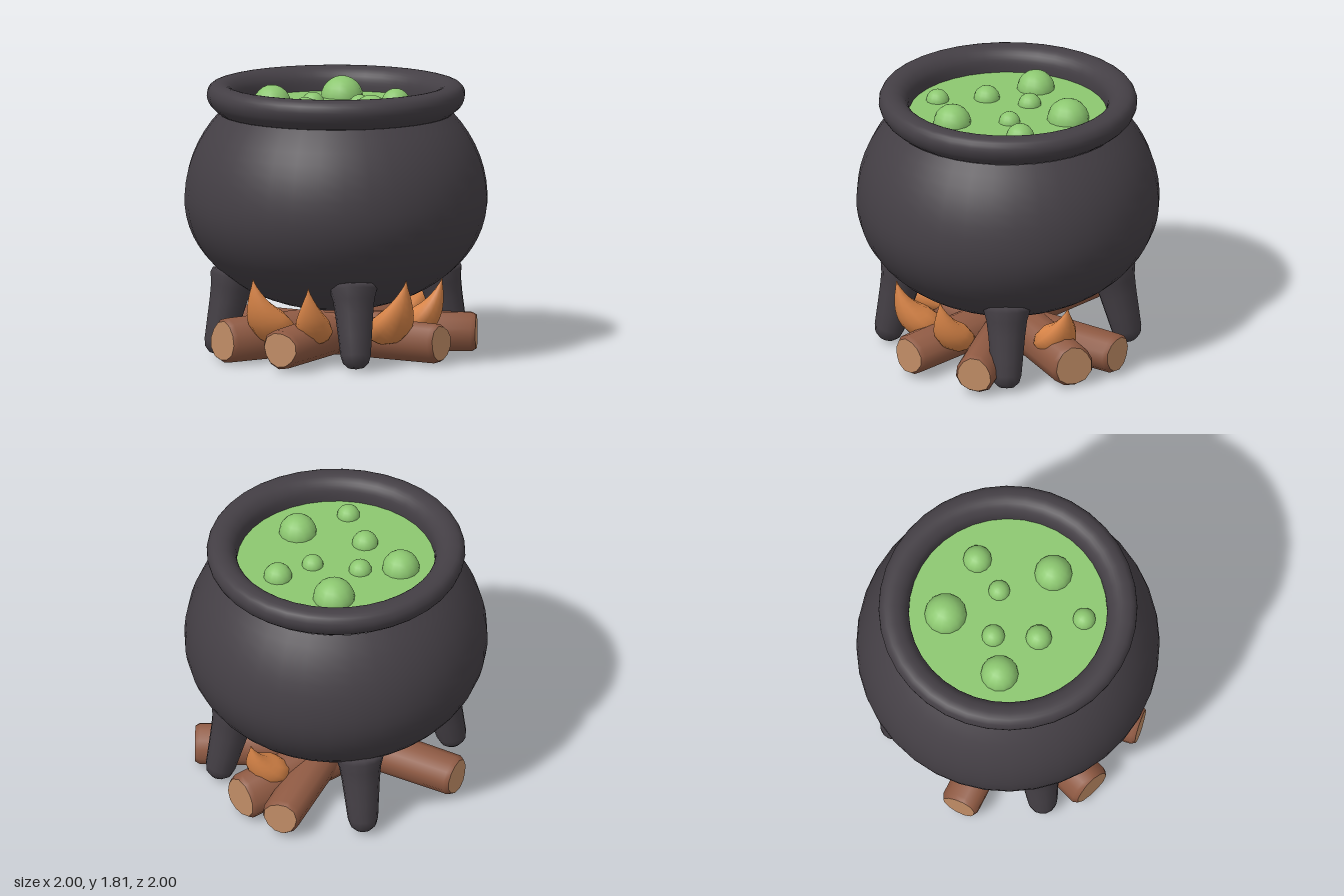
import * as THREE from 'three';
import { toCreasedNormals } from 'three/addons/utils/BufferGeometryUtils.js';

const paint = (name, color, side = THREE.FrontSide) => {
  const m = new THREE.MeshStandardMaterial({ color, side });
  m.name = name;
  return m;
};
const lathe = (pts, sides) =>
  new THREE.LatheGeometry(pts.map(([r, y]) => new THREE.Vector2(r, y)), sides);

export function createModel() {
  const iron = paint('iron', 0x443f45, THREE.DoubleSide);
  const brew = paint('brew green', 0x8cc770);
  const bark = paint('bark brown', 0x8e5942);
  const wood = paint('cut wood', 0xc18d66);
  const fire = paint('flame orange', 0xd98548);

  const model = new THREE.Group();
  const add = (name, geo, mat, parent = model) => {
    const mesh = new THREE.Mesh(geo, mat);
    mesh.name = name;
    parent.add(mesh);
    return mesh;
  };

  // Pot belly: a shallower ellipse below the widest line, a taller one above
  const belly = [];
  for (let i = 0; i <= 24; i++) {
    const a = -Math.PI / 2 + (i / 24) * (Math.PI / 2 + 0.695);
    belly.push([Math.max(0, Math.cos(a)), 1.05 + Math.sin(a) * (a < 0 ? 0.735 : 0.89)]);
  }
  add('potBelly', lathe(belly, 36), iron);

  // Rolled rim, running over the top and down the inside
  const rim = new THREE.SplineCurve([
    [0.765, 1.62], [0.825, 1.67], [0.853, 1.74], [0.83, 1.8], [0.77, 1.82],
    [0.71, 1.805], [0.668, 1.76], [0.654, 1.7], [0.655, 1.62],
  ].map(([x, y]) => new THREE.Vector2(x, y)));
  add('potRim', new THREE.LatheGeometry(rim.getPoints(24), 36), iron);

  // Brew surface and its bubbles
  const surface = new THREE.CircleGeometry(0.66, 36).rotateX(-Math.PI / 2);
  add('brewSurface', surface, brew).position.y = 1.665;
  [[-0.27, -0.31, 0.14], [0.16, -0.39, 0.095], [0.08, -0.14, 0.072], [-0.19, 0.03, 0.077],
    [0.4, 0.06, 0.125], [-0.37, 0.23, 0.125], [-0.01, 0.27, 0.087], [0.28, 0.42, 0.076],
  ].forEach(([x, z, r]) => {
    const dome = new THREE.SphereGeometry(r, 14, 6, 0, Math.PI * 2, 0, Math.PI / 2);
    add('bubble', dome, brew).position.set(x, 1.663, z);
  });

  // Four legs, splayed outward and flared where they meet the belly
  const legGeo = lathe([[0, 0], [0.05, 0.008], [0.085, 0.04], [0.1, 0.09], [0.112, 0.22],
    [0.125, 0.36], [0.138, 0.46], [0.158, 0.53], [0.15, 0.56], [0, 0.6]], 14);
  for (let i = 0; i < 4; i++) {
    const a = Math.atan2(0.67, 0.45) + (i * Math.PI) / 2;
    const leg = add('leg', legGeo, iron);
    leg.position.set(Math.sin(a) * 0.8, 0.03, Math.cos(a) * 0.8);
    leg.rotation.set(-0.22, a, 0, 'YXZ');
  }

  // Logs: slightly irregular round bars with bevelled ends and pale cut faces
  const uneven = (geo, seed) => {
    const p = geo.attributes.position;
    for (let i = 0; i < p.count; i++) {
      const x = p.getX(i), z = p.getZ(i), a = Math.atan2(z, x);
      const k = 1 + 0.045 * Math.sin(3 * a + seed) + 0.03 * Math.sin(2 * a + seed * 2);
      p.setXYZ(i, x * k, p.getY(i), z * k);
    }
    return toCreasedNormals(geo, 0.9);
  };
  const log = (from, to, r, seed) => {
    const a = new THREE.Vector3(from[0], 0.165, from[1]);
    const b = new THREE.Vector3(to[0], 0.165, to[1]);
    const h = a.distanceTo(b) / 2, e = r * 0.87;
    const g = new THREE.Group();
    g.name = 'log';
    g.position.copy(a).add(b).multiplyScalar(0.5);
    g.quaternion.setFromUnitVectors(new THREE.Vector3(0, 1, 0), b.clone().sub(a).normalize());
    model.add(g);
    add('bark', uneven(lathe([[e, -h], [r, -h + 0.03], [r * 1.04, 0], [r, h - 0.03], [e, h]], 12), seed), bark, g);
    add('cutEnd', uneven(lathe([[0, -h], [e, -h]], 12), seed), wood, g);
    add('cutEnd', uneven(lathe([[e, h], [0, h]], 12), seed), wood, g);
  };
  log([0.87, -0.13], [-0.84, 0.27], 0.132, 0.4);
  log([0.35, 0.84], [-0.3, -0.86], 0.132, 1.7);
  log([-0.18, 0.86], [0.05, -0.87], 0.15, 2.9);
  log([0.68, -0.63], [0.02, -0.03], 0.132, 4.1);

  // Flames: pointed petals that curl outward and up under the belly
  const flameGeo = (reach, top, width) => {
    const curve = new THREE.QuadraticBezierCurve(
      new THREE.Vector2(0.42, 0.2), new THREE.Vector2(reach - 0.06, 0.24), new THREE.Vector2(reach, top));
    const size = new THREE.SplineCurve([0.25, 0.7, 0.96, 1, 0.85, 0.6, 0.3, 0.01]
      .map((s, i) => new THREE.Vector2(i / 7, s)));
    const rings = 14, sides = 10, pos = [], idx = [];
    for (let i = 0; i <= rings; i++) {
      const t = i / rings, c = curve.getPoint(t), d = curve.getTangent(t);
      const w = width * size.getPoint(t).y;
      for (let j = 0; j < sides; j++) {
        const a = (j / sides) * Math.PI * 2, n = Math.sin(a) * w * 0.75;
        pos.push(Math.cos(a) * w, c.y + d.x * n, c.x - d.y * n);
        if (i === rings) continue;
        const p = i * sides + j, q = i * sides + ((j + 1) % sides);
        idx.push(p, q, p + sides, q, q + sides, p + sides);
      }
    }
    const geo = new THREE.BufferGeometry();
    geo.setAttribute('position', new THREE.Float32BufferAttribute(pos, 3));
    geo.setIndex(idx);
    geo.computeVertexNormals();
    return geo;
  };
  [[0.06, 0.81, 0.6, 0.15], [0.43, 0.66, 0.565, 0.12], [0.8, 0.12, 0.6, 0.145],
    [0.72, -0.28, 0.57, 0.13], [0.04, -0.78, 0.545, 0.14],
  ].forEach(([x, z, top, width]) => {
    add('flame', flameGeo(Math.hypot(x, z), top, width), fire).rotation.y = Math.atan2(x, z);
  });

  return model;
}
